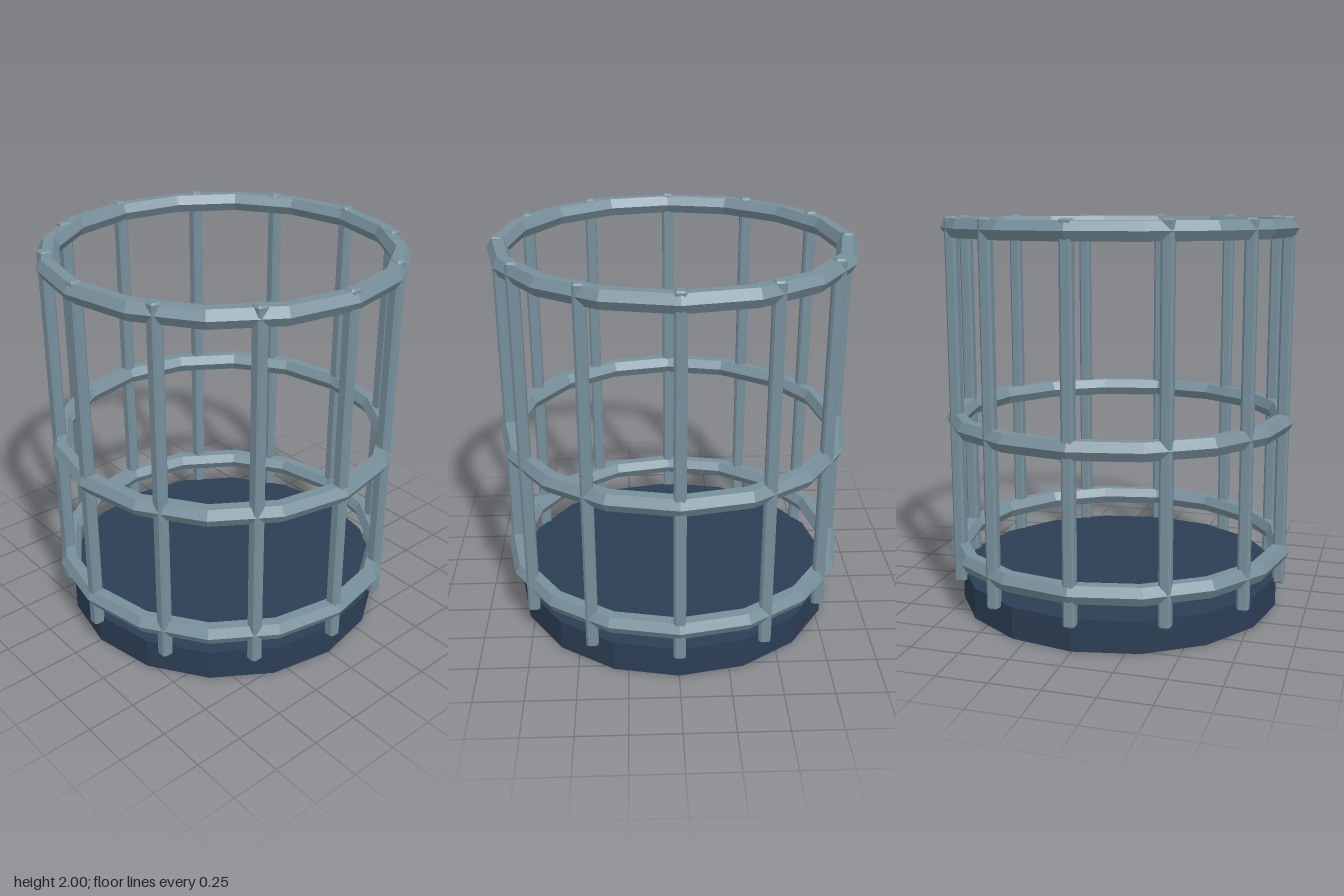
import * as THREE from 'three';

const metal = new THREE.MeshStandardMaterial({ color: 0x78909c, flatShading: true });
const dark = new THREE.MeshStandardMaterial({ color: 0x2c3e55, flatShading: true });

const RADIUS = 0.853;

// Upright square bar with all edges chamfered, spanning y0..y1
function barGeometry(width, y0, y1, c) {
  const a = width / 2 - c; // outline before the bevel widens it
  const b = a - c * 0.6;
  const pts = [[a, -b], [a, b], [b, a], [-b, a], [-a, b], [-a, -b], [-b, -a], [b, -a]];
  const shape = new THREE.Shape(pts.map(([x, y]) => new THREE.Vector2(x, y)));
  const geo = new THREE.ExtrudeGeometry(shape, {
    depth: y1 - y0 - 2 * c, bevelEnabled: true, bevelThickness: c, bevelSize: c, bevelSegments: 1,
  });
  geo.rotateX(-Math.PI / 2);
  geo.translate(0, y0 + c, 0);
  return geo;
}

export function createModel() {
  const group = new THREE.Group();
  const add = (name, geo, mat, x, y, z) => {
    const mesh = new THREE.Mesh(geo, mat);
    mesh.name = name;
    mesh.position.set(x, y, z);
    group.add(mesh);
  };

  // Solid floor disc
  add('base', new THREE.CylinderGeometry(0.84, 0.84, 0.16, 16), dark, 0, 0.08, 0);

  // Three horizontal hoops with hexagonal section
  const hoop = new THREE.TorusGeometry(RADIUS, 0.052, 6, 16).rotateX(Math.PI / 2);
  [['lowerHoop', 0.295], ['middleHoop', 0.975], ['upperHoop', 1.945]]
    .forEach(([name, y]) => add(name, hoop, metal, 0, y, 0));

  // Twelve upright bars, all aligned with the axes
  const bar = barGeometry(0.06, 0.13, 2, 0.009);
  for (let i = 0; i < 12; i++) {
    const t = (i / 12) * Math.PI * 2;
    add('uprightBar' + (i + 1), bar, metal, RADIUS * Math.sin(t), 0, RADIUS * Math.cos(t));
  }
  return group;
}
